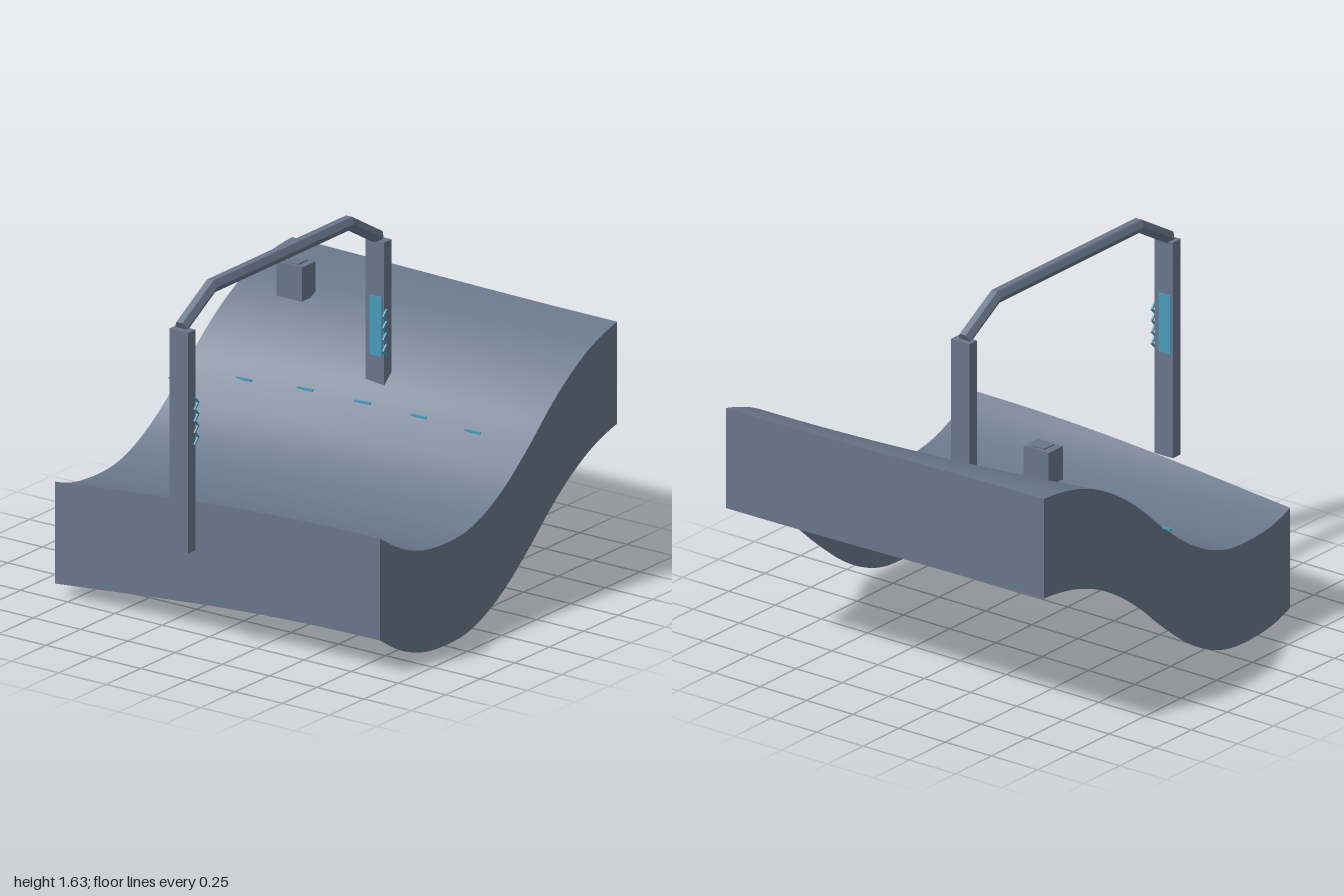
import * as THREE from 'three';

const slate = new THREE.MeshStandardMaterial({ color: 0x69778b, side: THREE.DoubleSide });
slate.name = 'slate';
const teal = new THREE.MeshStandardMaterial({ color: 0x4a9cbc, side: THREE.DoubleSide });
teal.name = 'teal';

const X0 = -0.72, X1 = 1, Z0 = -0.84, Z1 = 0.88, SKIRT = 0.463, GATE_Z = 0.02;

// Hill profile along x; it drifts sideways towards the back
const profile = new THREE.CubicInterpolant(
  [-0.72, -0.6, -0.5, -0.4, -0.3, -0.2, -0.1, 0, 0.1, 0.2, 0.3, 0.4, 0.5, 0.6, 0.7, 0.8, 0.9, 1, 1.1, 1.2],
  [0.622, 0.549, 0.505, 0.477, 0.465, 0.463, 0.472, 0.5, 0.545, 0.605, 0.68, 0.762, 0.85, 0.927, 0.992, 1.045, 1.083, 1.11, 1.125, 1.133],
  1);
function height(x, z) {
  const u = Math.max(0, (Z1 - z) / (Z1 - Z0));
  return profile.evaluate(Math.min(1.2, x + 0.185 * u * u))[0];
}

// Surface patch from a point rule over (u, v)
function patch(rule, nu, nv) {
  const pos = [], idx = [];
  for (let j = 0; j <= nv; j++)
    for (let i = 0; i <= nu; i++) pos.push(...rule(i / nu, j / nv));
  for (let j = 0; j < nv; j++)
    for (let i = 0; i < nu; i++) {
      const a = j * (nu + 1) + i, b = a + 1, c = a + nu + 1, d = c + 1;
      idx.push(a, c, b, b, c, d);
    }
  const g = new THREE.BufferGeometry();
  g.setAttribute('position', new THREE.Float32BufferAttribute(pos, 3));
  g.setIndex(idx);
  g.computeVertexNormals();
  return g;
}

function add(parent, name, geometry, material, x = 0, y = 0, z = 0) {
  const m = new THREE.Mesh(geometry, material);
  m.name = name;
  m.position.set(x, y, z);
  parent.add(m);
  return m;
}

// Mitred bar with a six-sided section, along points in the xy plane
function hexBar(points, r) {
  const rings = points.map((p, i) => {
    const prev = points[Math.max(i - 1, 0)], next = points[Math.min(i + 1, points.length - 1)];
    const a = Math.atan2(p[1] - prev[1], p[0] - prev[0]), b = Math.atan2(next[1] - p[1], next[0] - p[0]);
    const first = i === 0, last = i === points.length - 1;
    const t = first ? b : last ? a : (a + b) / 2;
    const k = first || last ? 1 : 1 / Math.cos((b - a) / 2);
    return Array.from({ length: 6 }, (_, s) => {
      const q = s * Math.PI / 3, h = Math.sin(q) * r * k;
      return [p[0] - Math.sin(t) * h, p[1] + Math.cos(t) * h, Math.cos(q) * r];
    });
  });
  const pos = [];
  const tri = (a, b, c) => pos.push(...a, ...b, ...c);
  for (let i = 0; i < rings.length - 1; i++)
    for (let s = 0; s < 6; s++) {
      const n = (s + 1) % 6, A = rings[i], B = rings[i + 1];
      tri(A[s], B[s], A[n]);
      tri(A[n], B[s], B[n]);
    }
  const end = rings[rings.length - 1];
  for (let s = 1; s < 5; s++) {
    tri(rings[0][0], rings[0][s], rings[0][s + 1]);
    tri(end[0], end[s + 1], end[s]);
  }
  const g = new THREE.BufferGeometry();
  g.setAttribute('position', new THREE.Float32BufferAttribute(pos, 3));
  g.computeVertexNormals();
  return g;
}

// Thin zigzag ribbon standing upright
function zigzag(w, h, teeth) {
  const left = [], right = [];
  for (let i = 0; i <= teeth * 2; i++) {
    const x = i % 2 ? w / 2 : -w / 2, y = h * (i / (teeth * 2) - 0.5);
    left.push(new THREE.Vector2(x - 0.005, y));
    right.unshift(new THREE.Vector2(x + 0.005, y));
  }
  return new THREE.ExtrudeGeometry(new THREE.Shape([...left, ...right]), { depth: 0.008, bevelEnabled: false });
}

export function createModel() {
  const model = new THREE.Group();
  model.name = 'hillsideGate';

  // Hill: curved top with four skirt walls, open underneath
  const terrain = new THREE.Group();
  terrain.name = 'terrain';
  model.add(terrain);
  const lx = u => X0 + (X1 - X0) * u, lz = v => Z0 + (Z1 - Z0) * v;
  add(terrain, 'hillSurface', patch((u, v) => [lx(u), height(lx(u), lz(v)), lz(v)], 64, 40), slate);
  for (const [name, z] of [['frontWall', Z1], ['backWall', Z0]]) {
    const s = z > 0;
    add(terrain, name, patch((u, v) => {
      const x = lx(s ? u : 1 - u);
      return [x, height(x, z) - SKIRT * v, z];
    }, 64, 1), slate);
  }
  for (const [name, x] of [['leftWall', X1], ['rightWall', X0]]) {
    const s = x > 0;
    add(terrain, name, patch((u, v) => {
      const z = lz(s ? 1 - u : u);
      return [x, height(x, z) - SKIRT * v, z];
    }, 40, 1), slate);
  }

  // Gate: two posts with inward panels and zigzag trims
  const gate = new THREE.Group();
  gate.name = 'gate';
  model.add(gate);
  for (const [x, inward] of [[-0.973, 1], [0.448, -1]]) {
    const post = new THREE.Group();
    post.name = inward > 0 ? 'rightPost' : 'leftPost';
    post.position.set(x, 0, GATE_Z);
    gate.add(post);
    add(post, 'postColumn', new THREE.BoxGeometry(0.054, 1, 0.1), slate, 0, 0.965, 0);
    add(post, 'postPanel', new THREE.BoxGeometry(0.006, 0.27, 0.065), teal, inward * 0.029, 1.08, -inward * 0.008);
    const trim = add(post, 'postZigzag', zigzag(0.025, 0.21, 4), teal, inward * 0.027, 1.055, 0.05);
    trim.scale.x = inward;
  }

  // Overhead beam
  add(gate, 'beam', hexBar([[-0.972, 1.472], [-0.757, 1.597], [0.237, 1.597], [0.452, 1.472]], 0.032), slate, 0, 0, 0.013);

  // Dashed line following the slope
  const dashes = [[0.36, 0.585], [0.357, 0.3], [0.342, 0.015], [0.315, -0.27], [0.266, -0.56], [0.17, -0.843]];
  dashes.forEach(([x, z], i) => {
    const dash = add(model, 'dash' + (i + 1), new THREE.BoxGeometry(0.012, 0.009, 0.08), teal, x, height(x, Math.max(z, Z0)), z);
    dash.rotation.y = 0.12 * (dashes.length - 1 - i) / (dashes.length - 1) * (i > 1 ? 1 : 0);
  });

  // Small hut with a thin cap
  add(model, 'hut', new THREE.BoxGeometry(0.1, 0.155, 0.135), slate, 0.64, 1.1075, -0.557);
  add(model, 'hutCap', new THREE.BoxGeometry(0.07, 0.007, 0.07), slate, 0.64, 1.188, -0.555);

  return model;
}
